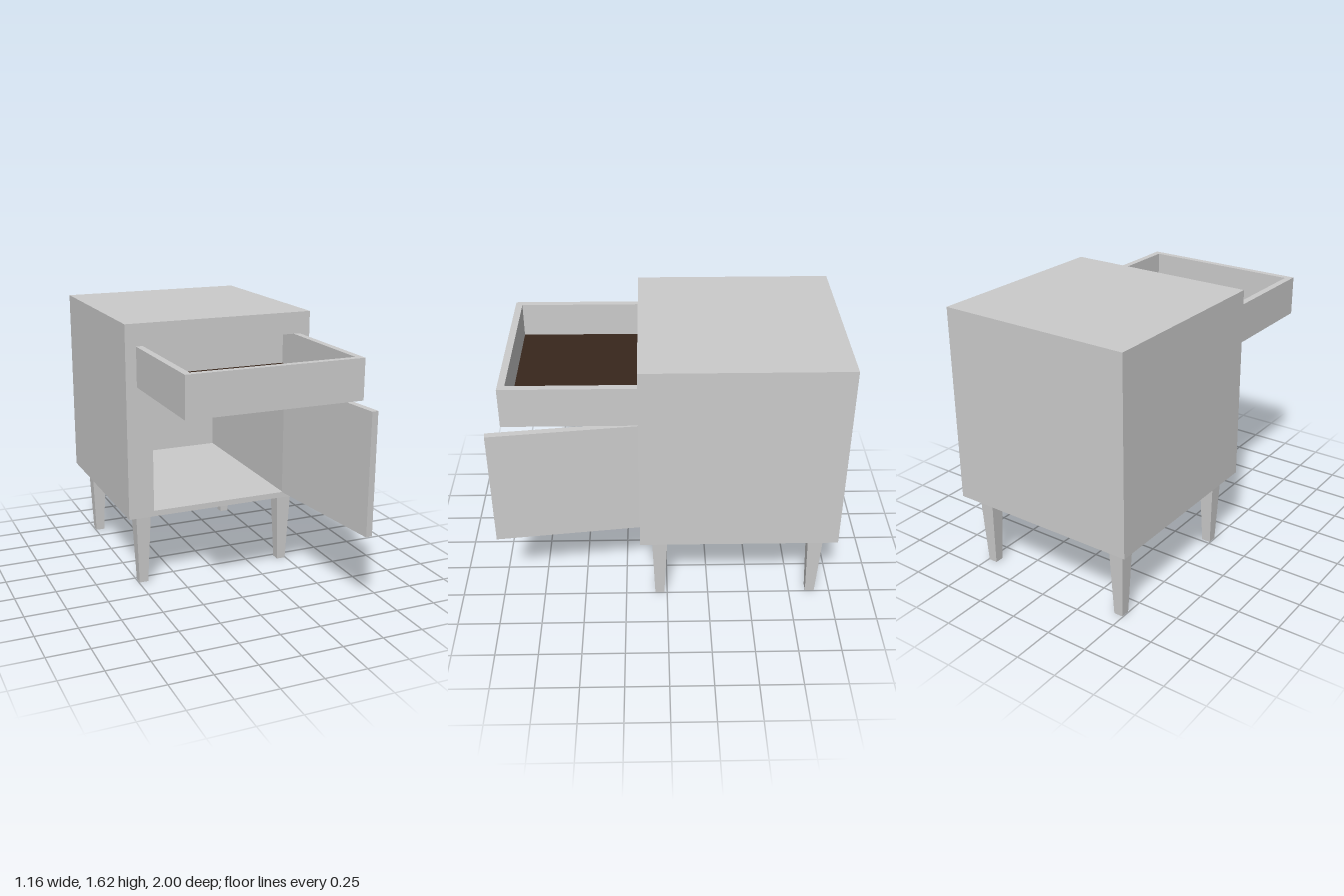
import * as THREE from 'three';

const grey = new THREE.MeshStandardMaterial({ color: 0xcccccc });
const brown = new THREE.MeshStandardMaterial({ color: 0x38271c });

// Box given by its minimum and maximum corners
function box(name, [x0, y0, z0], [x1, y1, z1], material = grey) {
  const mesh = new THREE.Mesh(new THREE.BoxGeometry(x1 - x0, y1 - y0, z1 - z0), material);
  mesh.position.set((x0 + x1) / 2, (y0 + y1) / 2, (z0 + z1) / 2);
  mesh.name = name;
  return mesh;
}

function trace(path, x, y0, y1) {
  path.moveTo(-x, y0);
  path.lineTo(x, y0);
  path.lineTo(x, y1);
  path.lineTo(-x, y1);
  path.closePath();
  return path;
}

// Carcass: block with a drawer slot and a cupboard opening, closed at the back
function createCarcass() {
  const group = new THREE.Group();
  group.name = 'carcass';
  const outline = trace(new THREE.Shape(), 0.58, 0.455, 1.615);
  outline.holes.push(trace(new THREE.Path(), 0.515, 1.25, 1.485));
  outline.holes.push(trace(new THREE.Path(), 0.425, 0.49, 1.21));
  const shell = new THREE.Mesh(
    new THREE.ExtrudeGeometry(outline, { depth: 1.125, bevelEnabled: false }), grey);
  shell.position.z = -0.965;
  shell.name = 'shell';
  group.add(shell, box('backPanel', [-0.58, 0.455, -1], [0.58, 1.615, -0.965]));
  return group;
}

// Drawer: open tray pulled out of its slot, with a dark lining
function createDrawer() {
  const group = new THREE.Group();
  group.name = 'drawer';
  const tray = trace(new THREE.Shape(), 0.515, -0.91, 0.02);
  tray.holes.push(trace(new THREE.Path(), 0.475, -0.87, -0.02));
  const walls = new THREE.Mesh(
    new THREE.ExtrudeGeometry(tray, { depth: 0.235, bevelEnabled: false }), grey);
  walls.rotation.x = -Math.PI / 2;
  walls.position.y = 1.25;
  walls.name = 'drawerWalls';
  group.add(
    walls,
    box('drawerBase', [-0.475, 1.25, 0.02], [0.475, 1.272, 0.87]),
    box('drawerLining', [-0.475, 1.272, 0.02], [0.475, 1.28, 0.87], brown));
  return group;
}

// Door: hinged on the left jamb, swung a little past square
function createDoor() {
  const hinge = new THREE.Group();
  hinge.name = 'door';
  hinge.position.set(0.42, 0, 0.16);
  hinge.rotation.y = THREE.MathUtils.degToRad(6.6);
  hinge.add(box('doorPanel', [0, 0.49, 0], [0.04, 1.21, 0.846]));
  return hinge;
}

// Leg: square post tapering towards the foot
function createLeg(name, x, z) {
  const geometry = new THREE.BoxGeometry(0.093, 0.455, 0.093);
  const p = geometry.attributes.position;
  for (let i = 0; i < p.count; i++) {
    if (p.getY(i) < 0) p.setXYZ(i, p.getX(i) * 0.59, p.getY(i), p.getZ(i) * 0.59);
  }
  geometry.computeVertexNormals();
  const leg = new THREE.Mesh(geometry, grey);
  leg.position.set(x, 0.2275, z);
  leg.name = name;
  return leg;
}

export function createModel() {
  const model = new THREE.Group();
  model.name = 'bedsideCabinet';
  model.add(createCarcass(), createDrawer(), createDoor());
  for (const [side, x] of [['Left', 0.468], ['Right', -0.468]]) {
    model.add(createLeg(`front${side}Leg`, x, 0.045), createLeg(`back${side}Leg`, x, -0.88));
  }
  return model;
}
